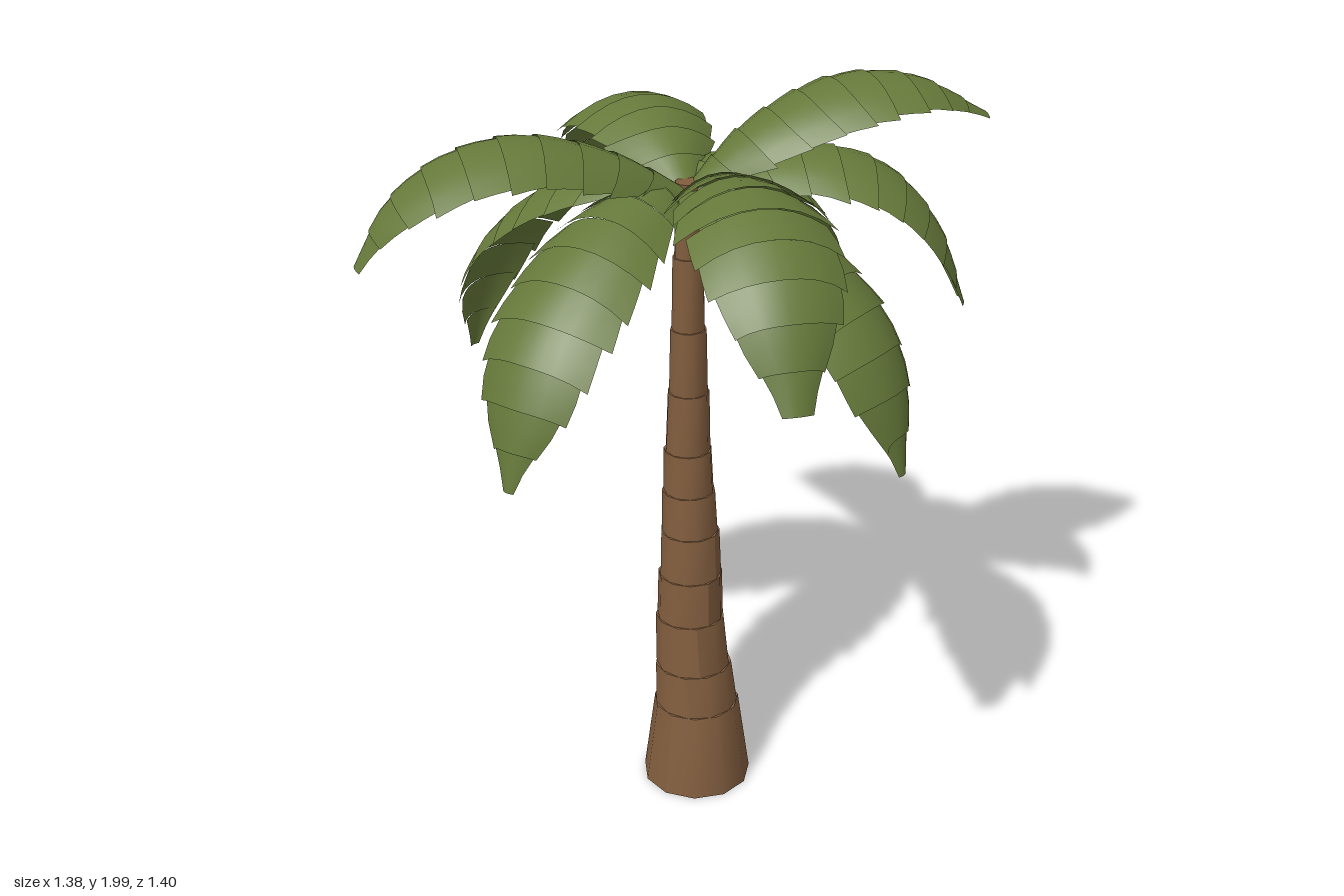
import * as THREE from 'three';

const leafGreen = new THREE.MeshStandardMaterial({ color: 0x66793a, side: THREE.DoubleSide });
leafGreen.name = 'leaf green';
const barkBrown = new THREE.MeshStandardMaterial({ color: 0x815d3e });
barkBrown.name = 'bark brown';

// Small seeded generator for the ragged edges
let seed = 7;
const rand = () => (seed = (seed * 16807) % 2147483647) / 2147483647;

const curve = (pts) => new THREE.SplineCurve(pts.map(([a, b]) => new THREE.Vector2(a, b)));

// Spine shapes: fraction of reach, height
const DROOPING = [[0, 1.745], [0.2, 1.785], [0.45, 1.745], [0.67, 1.655], [0.86, 1.52], [0.96, 1.36], [1, 1.17]];
const ARCHING = [[0, 1.75], [0.22, 1.855], [0.48, 1.91], [0.72, 1.87], [0.9, 1.76], [1, 1.61]];
const MID_ARCH = [[0, 1.75], [0.22, 1.845], [0.48, 1.88], [0.72, 1.825], [0.9, 1.69], [1, 1.48]];
const LOW_ARCH = [[0, 1.74], [0.22, 1.815], [0.48, 1.84], [0.72, 1.775], [0.9, 1.62], [1, 1.41]];
const RAISED = [[0, 1.75], [0.2, 1.89], [0.48, 1.985], [0.75, 1.975], [1, 1.86]];

// Half-width along the frond
const POINTED = curve([[0, 0.05], [0.2, 0.13], [0.4, 0.17], [0.62, 0.167], [0.82, 0.125], [1, 0.015]]);
const BLUNT = curve([[0, 0.05], [0.2, 0.135], [0.4, 0.175], [0.65, 0.175], [0.85, 0.13], [1, 0.035]]);

// name, base x and z, tip x and z, spine, width
const FRONDS = [
  ['frontFrond', -0.035, -0.01, -0.04, 0.7, DROOPING, POINTED],
  ['backFrond', -0.04, -0.01, -0.045, -0.675, DROOPING, POINTED],
  ['leftFrond', -0.01, 0.06, 0.69, 0.07, DROOPING, POINTED],
  ['rightFrond', -0.01, 0.06, -0.69, 0.07, DROOPING, POINTED],
  ['frontLeftFrond', 0.02, -0.02, 0.645, 0.49, MID_ARCH, BLUNT],
  ['frontRightFrond', 0, 0.01, -0.56, 0.635, ARCHING, BLUNT],
  ['backRightFrond', -0.01, -0.01, -0.64, -0.465, MID_ARCH, BLUNT],
  ['backLeftFrond', -0.01, -0.01, 0.54, -0.485, LOW_ARCH, BLUNT],
  ['raisedFrond', -0.01, -0.01, 0.47, -0.68, RAISED, BLUNT],
];

// A frond is a row of arched, overlapping plates with torn edges
function makeFrond([name, baseX, baseZ, tipX, tipZ, spinePts, width]) {
  const frond = new THREE.Group();
  frond.name = name;
  const base = new THREE.Vector3(baseX, 0, baseZ);
  const dir = new THREE.Vector3(tipX, 0, tipZ).sub(base);
  const reach = dir.length();
  dir.normalize();
  const side = new THREE.Vector3(-dir.z, 0, dir.x);
  const spine = curve(spinePts.map(([r, y]) => [r * reach, y]));
  const rows = 10;
  for (let i = 0; i < rows; i++) {
    const geo = new THREE.PlaneGeometry(2, 1, 8, 2);
    const pos = geo.attributes.position;
    const flare = [1 + rand() * 0.12, 1 + rand() * 0.12];
    const skew = [rand() * 0.35, rand() * 0.35];
    for (let k = 0; k < pos.count; k++) {
      const u = pos.getX(k);
      const v = pos.getY(k) + 0.5;
      const edge = u < 0 ? 0 : 1;
      const tear = i < rows - 1 ? skew[edge] * Math.abs(u) ** 3 * v : 0;
      const t = Math.min((i + v * 1.03 + tear) / rows, 1);
      const p = spine.getPointAt(t);
      const tan = spine.getTangentAt(t);
      const half = width.getPoint(t).y * (1 + (flare[edge] - 1) * v - 0.06 * (1 - v));
      // the arch flattens towards the tip
      const drop = (0.22 * t - 0.5) * half * u * u - 0.004 * (1 - v);
      const q = base.clone()
        .addScaledVector(dir, p.x - tan.y * drop)
        .addScaledVector(side, u * half);
      pos.setXYZ(k, q.x, p.y + tan.x * drop, q.z);
    }
    geo.computeVertexNormals();
    const plate = new THREE.Mesh(geo, leafGreen);
    plate.name = 'leafPlate';
    frond.add(plate);
  }
  return frond;
}

// Leaning, tapered trunk of stacked bark rings
function makeTrunk() {
  const trunk = new THREE.Group();
  trunk.name = 'trunk';
  // height, radius, centre x, centre z
  const rings = [
    [0, 0.152, 0.04, 0.02], [0.24, 0.117, 0.035, 0.015], [0.36, 0.105, 0.022, 0.012],
    [0.51, 0.094, 0.01, 0.01], [0.64, 0.087, 0.007, 0.005], [0.77, 0.079, 0.002, 0],
    [0.89, 0.071, -0.005, -0.004], [1.01, 0.063, -0.01, -0.007], [1.18, 0.054, -0.01, -0.01],
    [1.36, 0.046, -0.01, -0.01], [1.56, 0.039, -0.01, -0.01], [1.76, 0.032, -0.01, -0.01],
  ];
  for (let i = 0; i < rings.length - 1; i++) {
    const [y0, r0, x0, z0] = rings[i];
    const [y1, r1, x1, z1] = rings[i + 1];
    const geo = new THREE.CylinderGeometry(r1 + 0.002, r0 - (i ? 0.002 : 0), y1 - y0, 11, 1);
    geo.rotateY(i * 0.4);
    const pos = geo.attributes.position;
    for (let k = 0; k < pos.count; k++) {
      const v = pos.getY(k) / (y1 - y0) + 0.5;
      pos.setXYZ(k, pos.getX(k) + x0 + (x1 - x0) * v, y0 + (y1 - y0) * v, pos.getZ(k) + z0 + (z1 - z0) * v);
    }
    geo.computeVertexNormals();
    const ring = new THREE.Mesh(geo, barkBrown);
    ring.name = 'barkRing';
    trunk.add(ring);
  }
  return trunk;
}

export function createModel() {
  seed = 7;
  const palm = new THREE.Group();
  palm.name = 'palmTree';
  const crown = new THREE.Group();
  crown.name = 'crown';
  FRONDS.forEach((f) => crown.add(makeFrond(f)));
  palm.add(makeTrunk(), crown);
  return palm;
}
